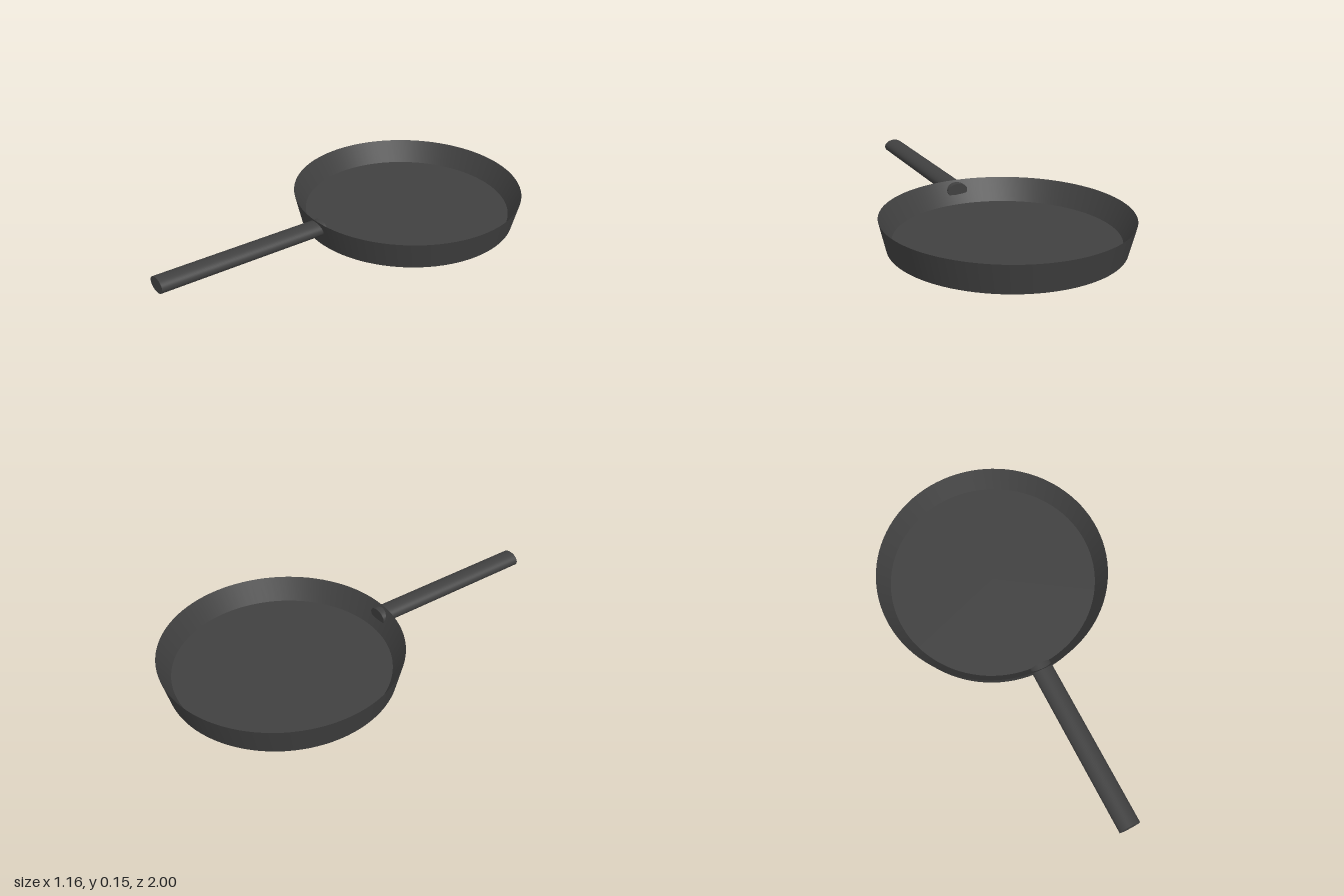
import * as THREE from 'three';
import { toCreasedNormals } from 'three/addons/utils/BufferGeometryUtils.js';

const material = new THREE.MeshStandardMaterial({ color: 0x404040 });

// Pan: outer base and wall, sharp rim, sloping inner wall and floor
function createPan() {
  const profile = [[0, 0], [0.545, 0], [0.578, 0.14], [0.52, 0.03], [0, 0.03]]
    .map(([r, y]) => new THREE.Vector2(r, y));
  const geometry = toCreasedNormals(new THREE.LatheGeometry(profile, 96), 0.5);
  const pan = new THREE.Mesh(geometry, material);
  pan.name = 'pan';
  pan.position.z = -0.422;
  return pan;
}

// Handle: flattened round bar, rising slightly to the front and poking through the wall
function createHandle() {
  const geometry = new THREE.CylinderGeometry(1, 1, 0.88, 48);
  geometry.rotateX(Math.PI / 2);
  geometry.scale(0.053, 0.036, 1);
  geometry.rotateX(-0.024);
  const handle = new THREE.Mesh(geometry, material);
  handle.name = 'handle';
  handle.position.set(-0.011, 0.104, 0.56);
  return handle;
}

export function createModel() {
  const model = new THREE.Group();
  model.name = 'fryingPan';
  model.add(createPan(), createHandle());
  return model;
}
